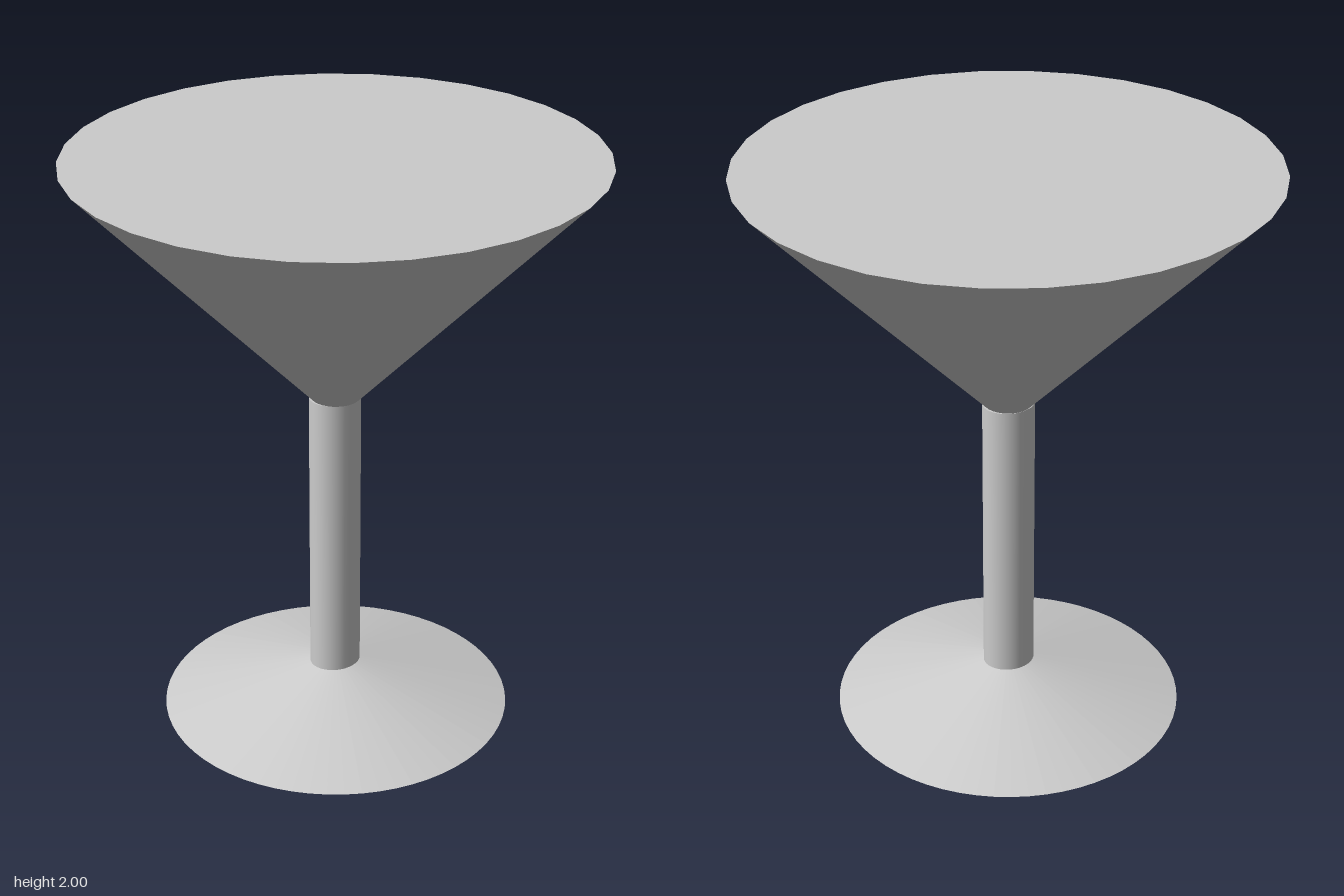
import * as THREE from 'three';

export function createModel() {
  const group = new THREE.Group();

  // Closed tapered cylinder spanning y0..y1
  function addPart(name, rTop, rBottom, y0, y1, sides, flatShading) {
    const geometry = new THREE.CylinderGeometry(rTop, rBottom, y1 - y0, sides);
    const material = new THREE.MeshStandardMaterial({ color: 0xcccccc, flatShading });
    const mesh = new THREE.Mesh(geometry, material);
    mesh.name = name;
    mesh.position.y = (y0 + y1) / 2;
    group.add(mesh);
    return mesh;
  }

  // Shallow conical foot
  addPart('base', 0.08, 0.6, 0, 0.15, 64, true);

  // Slightly oval stem
  const stem = addPart('stem', 1, 1, 0.15, 1.172, 32, false);
  stem.scale.set(0.08, 1, 0.09);
  stem.position.x = -0.004;

  // Faceted conical bowl, filled flat to the rim
  addPart('bowl', 0.872, 0.083, 1.172, 2, 32, true);

  return group;
}
